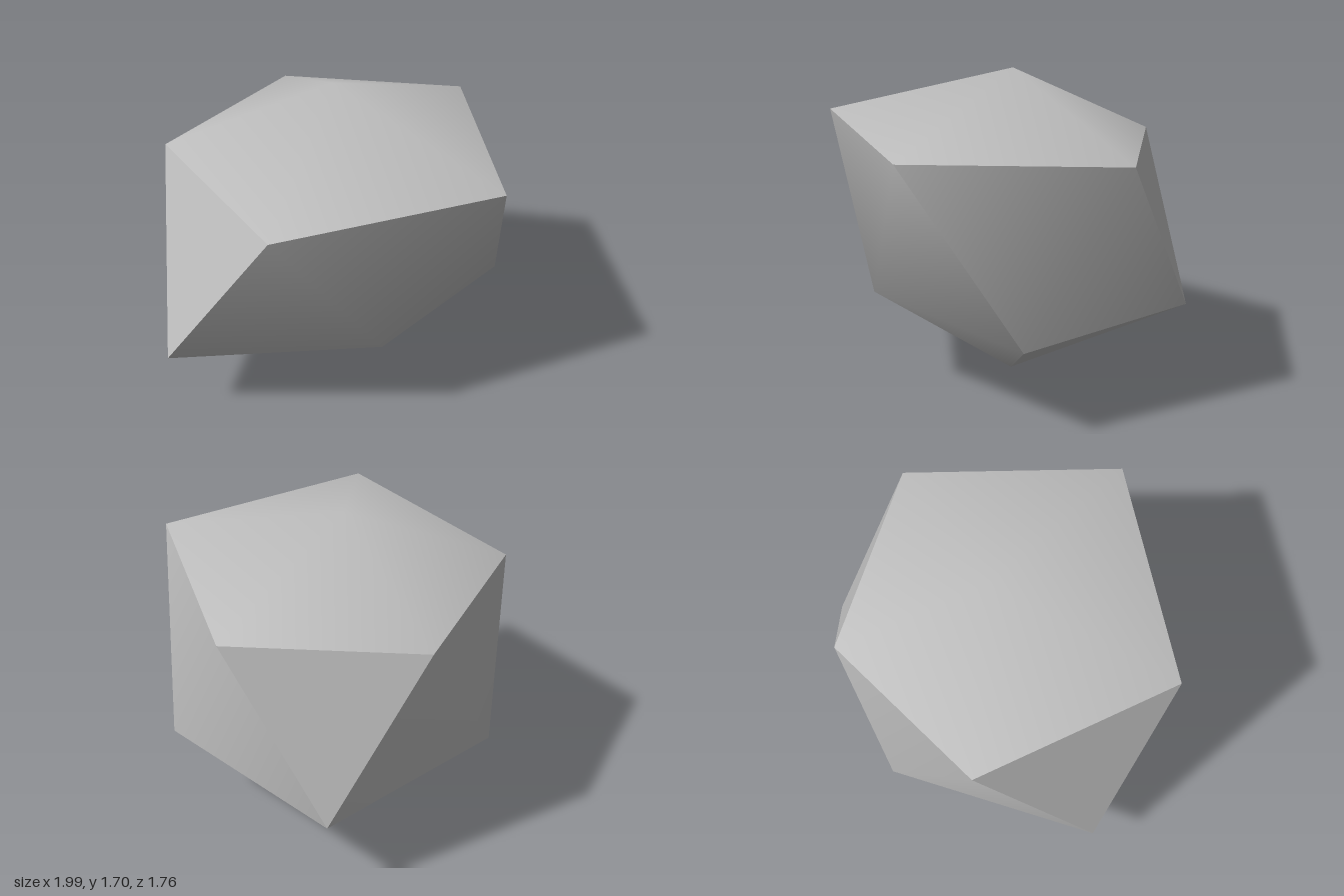
import * as THREE from 'three';

// Corner points: two poles, an upper ring and a lower ring of five
const corners = {
  top: [0.09, 1.7, -0.1], bottom: [0.09, 0, -0.1],
  u1: [-0.74, 1.42, 0.5], u2: [0.4, 1.42, 0.88], u3: [0.99, 1.36, -0.1],
  u4: [0.33, 1.31, -0.86], u5: [-0.62, 1.345, -0.61],
  l1: [-1, 0.415, -0.1], l2: [-0.17, 0.54, -0.88], l3: [0.86, 0.48, -0.66],
  l4: [0.83, 0.5, 0.45], l5: [-0.15, 0.565, 0.64],
};

// Facets that share smooth shading; edges between two groups stay sharp
const facets = {
  topCap: ['top u1 u2', 'top u2 u3', 'top u3 u4', 'top u4 u5', 'top u5 u1'],
  frontSide: ['u1 u2 l5', 'u1 l1 l5', 'u2 l5 l4', 'bottom l5 l1', 'bottom l4 l5'],
  leftSide: ['u2 l4 u3', 'u3 l4 l3'],
  backLeftFacet: ['u3 l3 u4'],
  backSide: ['u4 l3 l2', 'u4 l2 u5', 'u5 l2 l1'],
  rightFacet: ['u5 l1 u1'],
  lowerLeftFacet: ['bottom l3 l4'],
  lowerBack: ['bottom l2 l3', 'bottom l1 l2'],
};

// Indexed patch of triangles, each turned to face away from the centre
function patch(triangles) {
  const names = [...new Set(triangles.flatMap((t) => t.split(' ')))];
  const points = names.map((n) => new THREE.Vector3(...corners[n]));
  const centre = new THREE.Vector3(0.09, 0.93, -0.1);
  const index = [];
  for (const t of triangles) {
    const [i, j, k] = t.split(' ').map((n) => names.indexOf(n));
    const tri = new THREE.Triangle(points[i], points[j], points[k]);
    const normal = tri.getNormal(new THREE.Vector3());
    const outward = points[i].clone().sub(centre).dot(normal) > 0;
    index.push(i, ...(outward ? [j, k] : [k, j]));
  }
  const geometry = new THREE.BufferGeometry().setFromPoints(points);
  geometry.setIndex(index);
  geometry.computeVertexNormals();
  return geometry;
}

export function createModel() {
  const rock = new THREE.Group();
  rock.name = 'rock';
  const stone = new THREE.MeshStandardMaterial({ color: 0xbfbfbf });
  stone.name = 'stone grey';
  for (const [name, triangles] of Object.entries(facets)) {
    const mesh = new THREE.Mesh(patch(triangles), stone);
    mesh.name = name;
    rock.add(mesh);
  }
  return rock;
}
